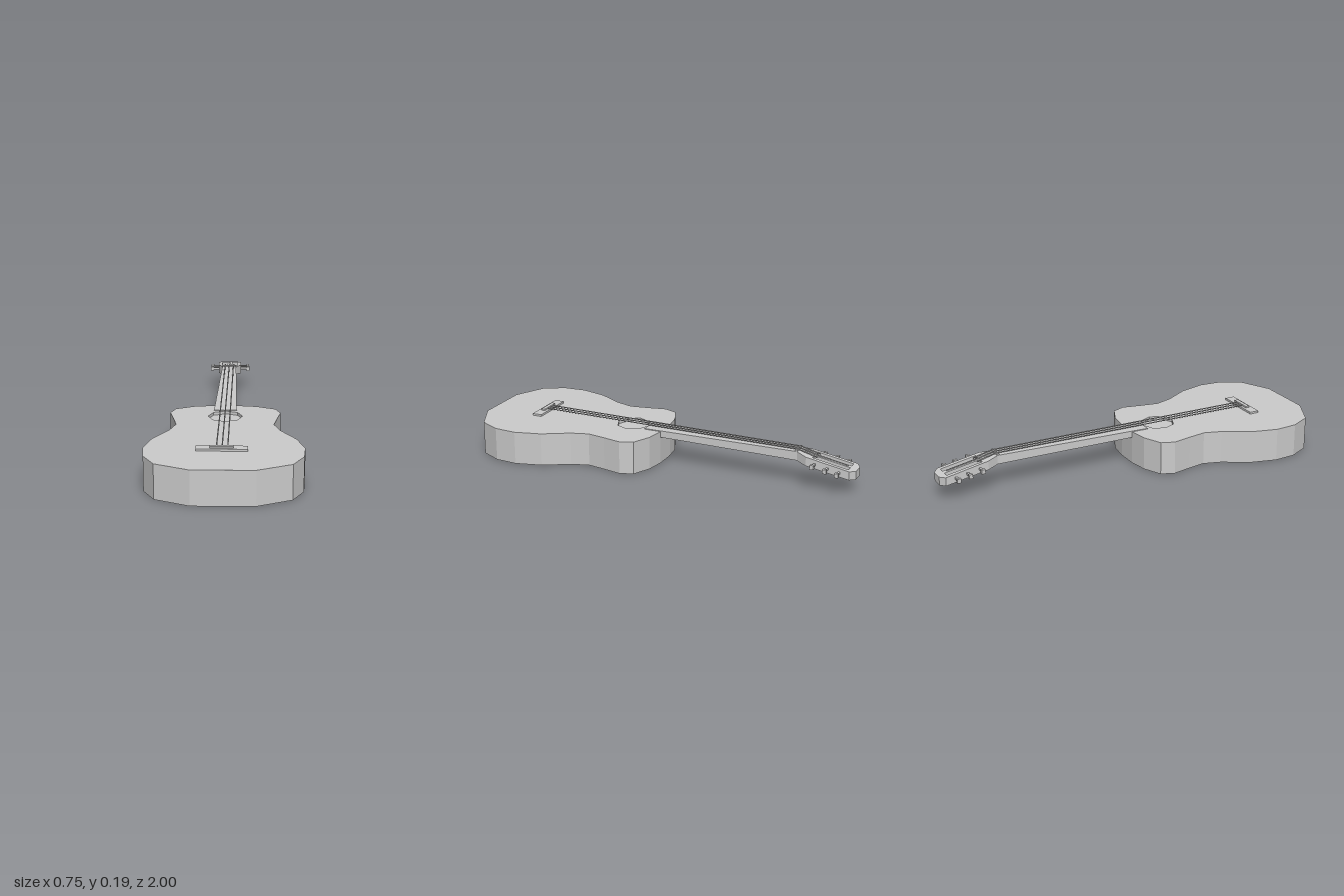
import * as THREE from 'three';

const material = new THREE.MeshStandardMaterial({ color: 0xcccccc, flatShading: true });

function add(parent, name, geometry, x = 0, y = 0, z = 0) {
  const mesh = new THREE.Mesh(geometry, material);
  mesh.name = name;
  mesh.position.set(x, y, z);
  parent.add(mesh);
  return mesh;
}

// Plan outlines are [x, z] pairs
const toPoints = (pts) => pts.map(([x, z]) => new THREE.Vector2(x, -z));

// Upright prism over a plan outline; bottom and top heights are functions of z
function prism(outline, bottom, top, holes = []) {
  const shape = new THREE.Shape(toPoints(outline));
  for (const hole of holes) shape.holes.push(new THREE.Path(toPoints(hole)));
  const geo = new THREE.ExtrudeGeometry(shape, { depth: 1, bevelEnabled: false, steps: 1 });
  geo.rotateX(-Math.PI / 2);
  const p = geo.attributes.position;
  for (let i = 0; i < p.count; i++) {
    const z = p.getZ(i);
    p.setY(i, p.getY(i) > 0.5 ? top(z) : bottom(z));
  }
  geo.computeVertexNormals();
  return geo;
}

// Thin rod between two points
function rod(a, b, radius, sides) {
  const dir = b.clone().sub(a);
  const geo = new THREE.CylinderGeometry(radius, radius, dir.length(), sides);
  geo.applyQuaternion(new THREE.Quaternion().setFromUnitVectors(
    new THREE.Vector3(0, 1, 0), dir.normalize()));
  const mid = a.clone().add(b).multiplyScalar(0.5);
  return geo.translate(mid.x, mid.y, mid.z);
}

export function createModel() {
  const group = new THREE.Group();
  const at = (y) => () => y;

  // Body: mirrored half outline, with a shallow octagonal sound hole
  const half = [[0.147, 1], [0.312, 0.92], [0.366, 0.815], [0.375, 0.7], [0.34, 0.565],
    [0.266, 0.435], [0.238, 0.345], [0.255, 0.25], [0.275, 0.155], [0.25, 0.088],
    [0.155, 0.045], [0.055, 0.03]];
  const outline = [...half, ...half.map(([x, z]) => [-x, z]).reverse()];
  const soundHole = [];
  for (let i = 0; i < 8; i++) {
    const a = i * Math.PI / 4;
    soundHole.push([0.085 * Math.cos(a), 0.21 + 0.085 * Math.sin(a)]);
  }
  add(group, 'body', prism(outline, at(0), at(0.155)));
  add(group, 'soundboard', prism(outline, at(0.155), at(0.17), [soundHole]));

  // Neck, tapering and thickening slightly towards the head
  const neckOutline = [[-0.058, 0.12], [0.056, 0.12], [0.048, -0.7], [-0.028, -0.7]];
  add(group, 'neck', prism(neckOutline, (z) => 0.139 + 0.012 * z, (z) => 0.174 - 0.004 * z));
  add(group, 'nut', new THREE.BoxGeometry(0.074, 0.012, 0.012), 0.01, 0.178, -0.695);

  // Slotted head, sloping down and back
  const headTop = (z) => 0.176 + (z + 0.7) * 0.18;
  const headBottom = (z) => 0.13 + (z + 0.7) * 0.17;
  const headOutline = [[-0.028, -0.7], [0.048, -0.7], [0.075, -0.755], [0.075, -0.975],
    [0.043, -1], [-0.02, -1], [-0.052, -0.978], [-0.048, -0.755]];
  const slot = (x0, x1) => [[x0, -0.78], [x1, -0.78], [x1, -0.965], [x0, -0.965]];
  add(group, 'head', prism(headOutline, headBottom, headTop,
    [slot(-0.03, -0.001), slot(0.025, 0.054)]));

  // Three tuning pegs on each side
  for (const z of [-0.8, -0.865, -0.925]) {
    const y = (headTop(z) + headBottom(z)) / 2;
    for (const side of [-1, 1]) {
      const peg = new THREE.Group();
      peg.name = side > 0 ? 'leftPeg' : 'rightPeg';
      peg.position.set(0.014, y, z);
      add(peg, 'pegShaft', new THREE.BoxGeometry(0.09, 0.011, 0.011), side * 0.055);
      add(peg, 'pegKnob', new THREE.BoxGeometry(0.016, 0.022, 0.02), side * 0.1);
      group.add(peg);
    }
  }

  // Bridge and saddle
  add(group, 'bridge', new THREE.BoxGeometry(0.24, 0.012, 0.05), -0.01, 0.174, 0.72);
  add(group, 'saddle', new THREE.BoxGeometry(0.11, 0.01, 0.02), -0.01, 0.183, 0.72);

  // Strings: bridge to nut, then down to the head
  const endX = [-0.012, 0.012, 0.036];
  const endZ = [-0.8, -0.95, -0.8];
  for (let i = 0; i < 3; i++) {
    const k = i - 1;
    const start = new THREE.Vector3(-0.008 + k * 0.026, 0.185, 0.72);
    const nut = new THREE.Vector3(0.01 + k * 0.023, 0.185, -0.7);
    const onHead = new THREE.Vector3(endX[i], headTop(-0.79) + 0.002, -0.79);
    const end = new THREE.Vector3(endX[i], headTop(endZ[i]) + 0.002, endZ[i]);
    add(group, 'string', rod(start, nut, 0.003, 4));
    add(group, 'stringHeadEnd', rod(nut, onHead, 0.003, 4));
    add(group, 'stringTail', rod(onHead, end, 0.003, 4));
  }
  return group;
}
